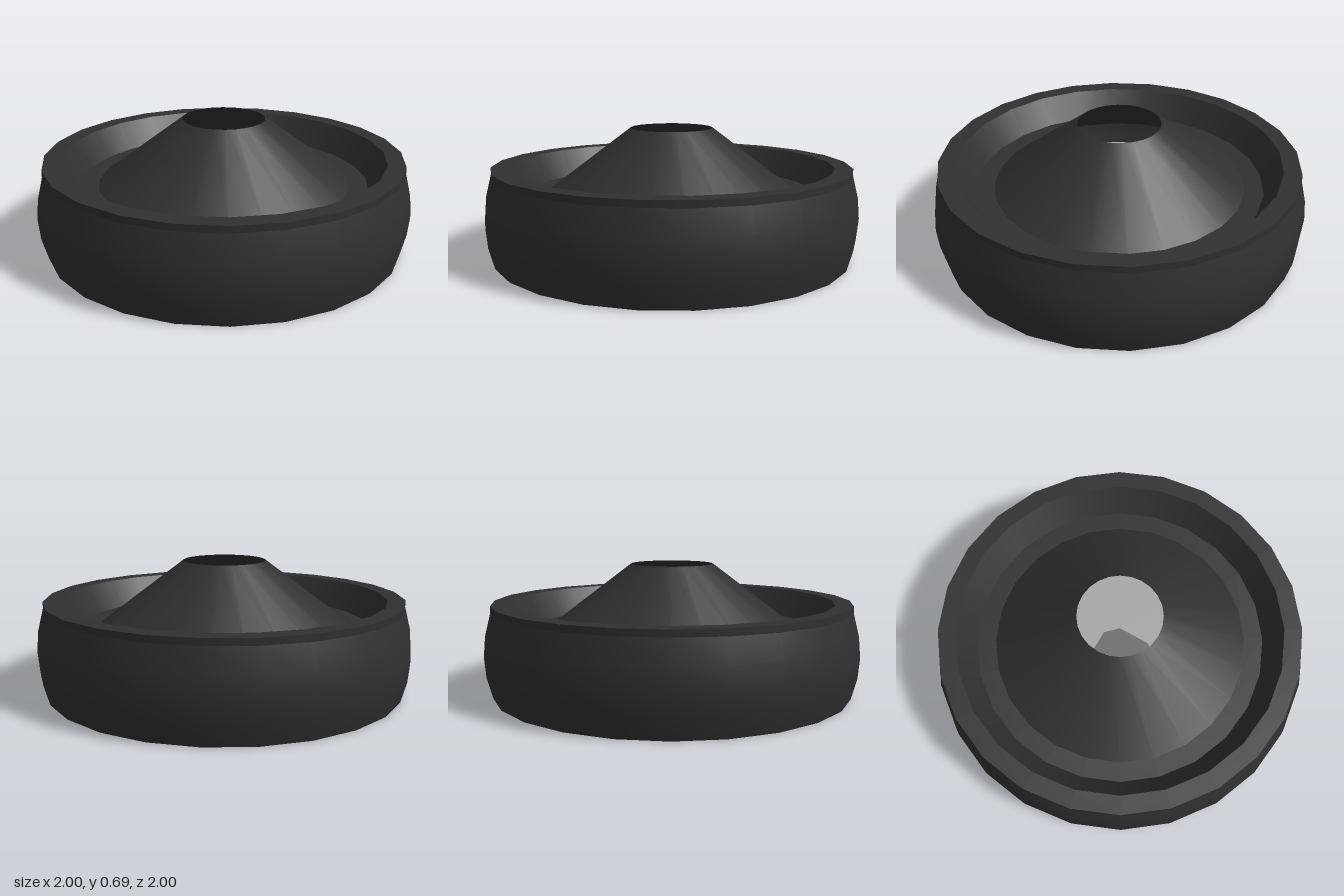
import * as THREE from 'three';

const SEGMENTS = 24;

const rubber = new THREE.MeshStandardMaterial({ color: 0x303030, side: THREE.DoubleSide });
rubber.name = 'black rubber';
const darkGrey = new THREE.MeshStandardMaterial({ color: 0x686c6b, side: THREE.DoubleSide });
darkGrey.name = 'dark grey';
const lightGrey = new THREE.MeshStandardMaterial({ color: 0xa4a6a4, side: THREE.DoubleSide });
lightGrey.name = 'light grey';

export function createModel() {
  const model = new THREE.Group();

  // Smooth surface of revolution; separate calls keep the edges between them sharp
  const turn = (name, material, ...profile) => {
    const points = profile.map(([r, y]) => new THREE.Vector2(r, y));
    const mesh = new THREE.Mesh(new THREE.LatheGeometry(points, SEGMENTS), material);
    mesh.name = name;
    model.add(mesh);
  };

  // Tyre
  turn('tyreBottomFace', rubber, [0.86, 0], [0.96, 0]);
  turn('tyreTread', rubber, [0.96, 0], [0.99, 0.11], [1, 0.22], [0.99, 0.33], [0.96, 0.45]);
  turn('tyreShoulder', rubber, [0.96, 0.45], [0.96, 0.485]);
  turn('tyreTopFace', rubber, [0.96, 0.485], [0.866, 0.485]);
  turn('tyreUpperInnerWall', rubber, [0.866, 0.485], [0.775, 0.34]);
  turn('tyreLowerInnerWall', rubber, [0.86, 0.11], [0.86, 0]);

  // Sunken floor and hollow cone with an open tip
  turn('innerFloor', rubber, [0.775, 0.34], [0.675, 0.34]);
  turn('hubCone', rubber, [0.675, 0.34], [0.22, 0.685]);

  // Rim on the underside
  turn('rimFlare', lightGrey, [0.77, 0.004], [0.86, 0.11]);
  turn('rimRing', darkGrey, [0.575, 0.004], [0.77, 0.004]);

  // Square axle socket with cut corners
  const a = 0.165, b = 0.095;
  const corners = [[a, -b], [a, b], [b, a], [-b, a], [-a, b], [-a, -b], [-b, -a], [b, -a]]
    .map(([x, y]) => new THREE.Vector2(x, y));

  // Disc around the socket, and the plate that fills the socket
  const disc = new THREE.Shape().absarc(0, 0, 0.575, 0, Math.PI * 2);
  disc.holes.push(new THREE.Path(corners));
  const flat = (name, shape, material) => {
    const mesh = new THREE.Mesh(new THREE.ShapeGeometry(shape, SEGMENTS), material);
    mesh.name = name;
    mesh.rotation.x = Math.PI / 2;
    mesh.position.y = 0.004;
    model.add(mesh);
  };
  flat('hubDisc', disc, lightGrey);
  flat('axleSocket', new THREE.Shape(corners), darkGrey);

  return model;
}
